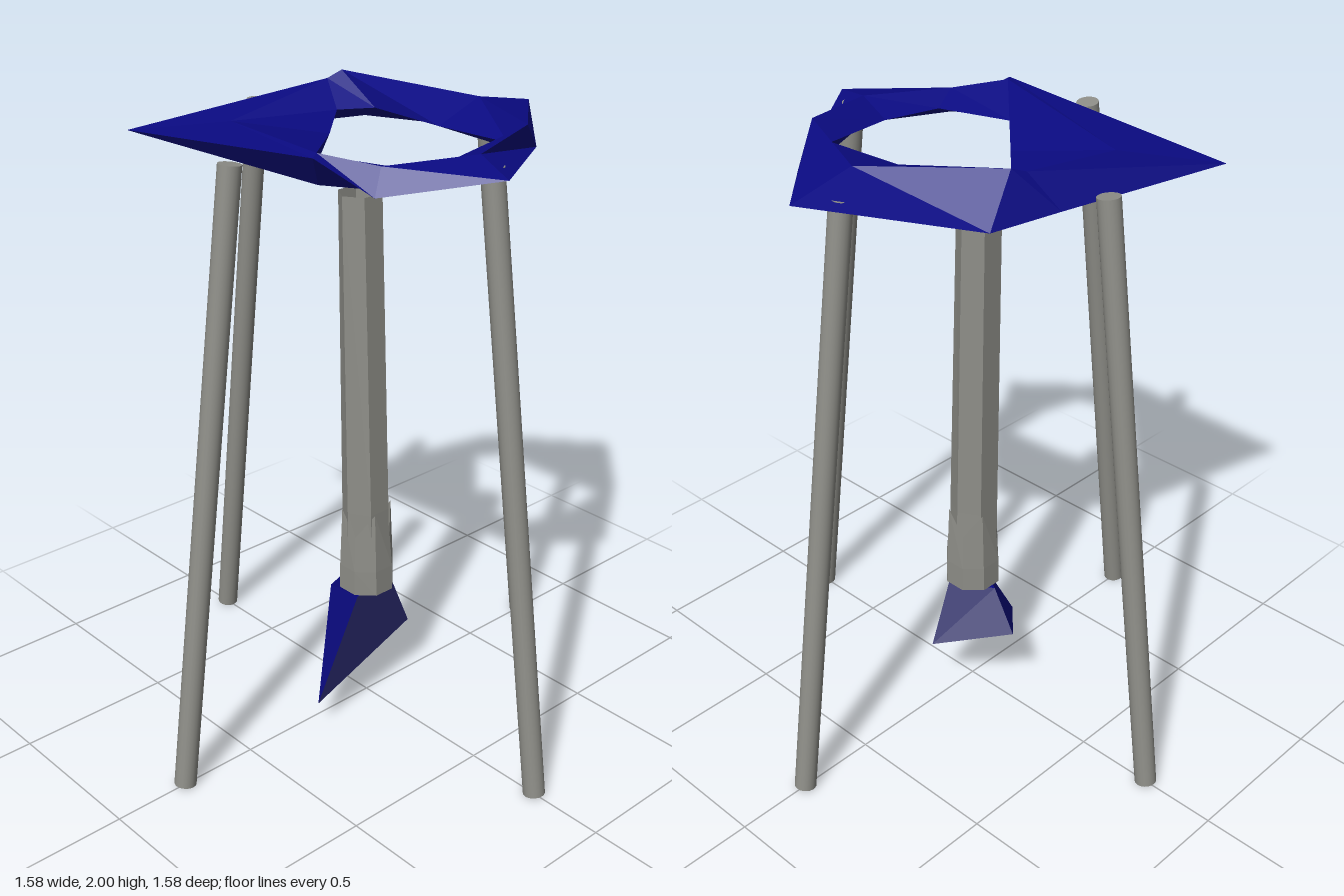
import * as THREE from 'three';

const metal = new THREE.MeshStandardMaterial({ color: 0x8e8e88, side: THREE.DoubleSide });
metal.name = 'grey metal';
const blue = new THREE.MeshStandardMaterial({ color: 0x0a0a82, side: THREE.DoubleSide });
blue.name = 'navy blue';
const dusk = new THREE.MeshStandardMaterial({ color: 0x28286a, side: THREE.DoubleSide });
dusk.name = 'dusky blue';

// Faceted surface from a list of triangles, each three [x, y, z] points
function facets(name, tris, material) {
  const g = new THREE.BufferGeometry();
  g.setAttribute('position', new THREE.Float32BufferAttribute(tris.flat(2), 3));
  g.computeVertexNormals();
  const mesh = new THREE.Mesh(g, material);
  mesh.name = name;
  return mesh;
}

// Skin neighbouring cross-sections; each section is itself a closed loop
function skin(sections, wrap) {
  const tris = [];
  const n = sections[0].length;
  const count = wrap ? sections.length : sections.length - 1;
  for (let i = 0; i < count; i++) {
    const s = sections[i], t = sections[(i + 1) % sections.length];
    for (let j = 0; j < n; j++) {
      const k = (j + 1) % n;
      tris.push([s[j], t[j], t[k]], [s[j], t[k], s[k]]);
    }
  }
  return tris;
}

// Polygon around the y axis, with optional alternating heights
function polygon(n, y, rx, rz, cx = 0, cz = 0, ragged = 0) {
  return Array.from({ length: n }, (_, i) => {
    const a = ((i + 0.5) / n) * Math.PI * 2;
    return [cx + rx * Math.cos(a), y - (i % 2) * ragged, cz + rz * Math.sin(a)];
  });
}

export function createModel() {
  const model = new THREE.Group();

  // Four splayed legs
  const foot = new THREE.Vector3(0, 0.005, 0.755);
  const head = new THREE.Vector3(0, 1.91, 0.495);
  const along = head.clone().sub(foot);
  const legGeometry = new THREE.CylinderGeometry(0.034, 0.034, along.length(), 20);
  ['frontLeg', 'leftLeg', 'backLeg', 'rightLeg'].forEach((name, i) => {
    const pivot = new THREE.Group();
    const leg = new THREE.Mesh(legGeometry, metal);
    leg.position.copy(foot).add(head).multiplyScalar(0.5);
    leg.quaternion.setFromUnitVectors(new THREE.Vector3(0, 1, 0), along.clone().normalize());
    pivot.name = name;
    pivot.rotation.y = (i * Math.PI) / 2;
    pivot.add(leg);
    model.add(pivot);
  });

  // Jagged seat ring: outer, top, inner and bottom point of each section
  const ring = [
    [[-0.37, 1.87, -0.32], [-0.33, 2.0, -0.2], [-0.18, 1.91, -0.2], [-0.28, 1.86, -0.25]],
    [[0.06, 1.91, -0.62], [0.06, 1.955, -0.4], [0.075, 1.9, -0.217], [0.06, 1.865, -0.38]],
    [[0.32, 1.86, -0.37], [0.39, 1.96, -0.25], [0.33, 1.9, -0.235], [0.32, 1.86, -0.3]],
    [[0.61, 1.91, 0.06], [0.46, 1.94, 0.01], [0.345, 1.9, -0.01], [0.45, 1.87, 0.03]],
    [[0.37, 1.86, 0.31], [0.34, 1.93, 0.26], [0.3, 1.9, 0.165], [0.33, 1.86, 0.25]],
    [[0.23, 1.955, 0.4], [0.21, 1.96, 0.37], [0.075, 1.9, 0.24], [0.18, 1.86, 0.34]],
    [[-0.55, 1.885, 0.445], [-0.32, 1.92, 0.24], [-0.08, 1.9, 0.07], [-0.36, 1.86, 0.26]],
    [[-0.42, 1.875, -0.1], [-0.34, 1.98, -0.15], [-0.24, 1.91, -0.1], [-0.33, 1.86, -0.1]],
  ];
  model.add(facets('seatRing', skin(ring, true), blue));

  // Hollow tapering shaft
  const shaft = [
    polygon(6, 0.415, 0.078, 0.08),
    polygon(6, 0.7, 0.078, 0.075, 0, 0.005),
    polygon(6, 1.73, 0.066, 0.071, -0.016, 0.01),
  ];
  model.add(facets('shaft', skin(shaft, false), metal));

  // Collar with a ragged upper edge
  const collar = [
    polygon(8, 0.415, 0.092, 0.09),
    polygon(8, 0.5, 0.09, 0.09),
    polygon(8, 0.7, 0.08, 0.082, 0, 0, 0.08),
  ];
  model.add(facets('collar', skin(collar, false), metal));

  // Slanted pointed tip below the shaft
  const side = [-0.21, 0.3, -0.03], front = [0.06, 0.095, 0.265], back = [0.02, 0.21, -0.17];
  const topSide = [-0.1, 0.412, 0], topFront = [0.045, 0.412, 0.08], topBack = [0.03, 0.412, -0.08];
  model.add(facets('tipFront', [
    [side, front, topFront], [side, topFront, topSide], [topSide, topFront, topBack],
  ], blue));
  model.add(facets('tipBack', [
    [front, back, topBack], [front, topBack, topFront],
    [back, side, topSide], [back, topSide, topBack], [side, back, front],
  ], dusk));

  return model;
}
